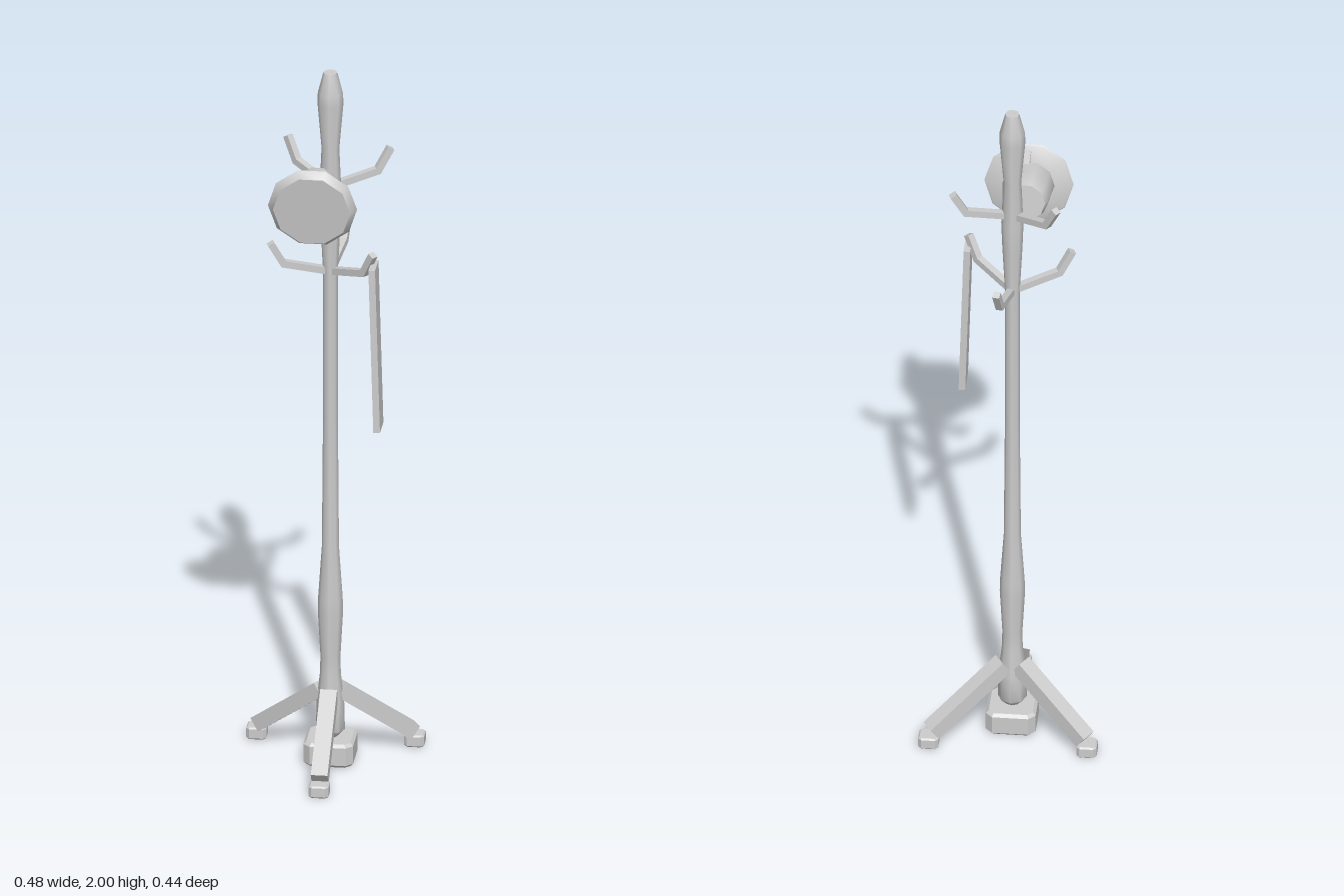
import * as THREE from 'three';
import { toCreasedNormals } from 'three/addons/utils/BufferGeometryUtils.js';

const grey = new THREE.MeshStandardMaterial({ color: 0xcccccc });
grey.name = 'light grey';

function mesh(name, geometry, parent) {
  const m = new THREE.Mesh(geometry, grey);
  m.name = name;
  parent.add(m);
  return m;
}

// Turned solid from [radius, height] pairs listed bottom to top
function turned(points, sides) {
  const profile = points.map(([r, y]) => new THREE.Vector2(r, y));
  return toCreasedNormals(new THREE.LatheGeometry(profile, sides), 0.87);
}

// Square block with cut corners and bevelled rims, standing on y = 0
function block(size, height, corner, bevel) {
  const h = size / 2 - bevel;
  const c = h - corner;
  const shape = new THREE.Shape([
    [h, -c], [h, c], [c, h], [-c, h], [-h, c], [-h, -c], [-c, -h], [c, -h],
  ].map(([x, y]) => new THREE.Vector2(x, y)));
  const g = new THREE.ExtrudeGeometry(shape, {
    depth: height - 2 * bevel, bevelEnabled: true,
    bevelSize: bevel, bevelThickness: bevel, bevelSegments: 1,
  });
  g.translate(0, 0, bevel);
  return g.rotateX(-Math.PI / 2);
}

// Square bar swept along [radius, height] points, mitred at the bends
function bar(points, size) {
  const s = size / 2;
  const pts = points.map(([x, y]) => new THREE.Vector2(x, y));
  const rings = pts.map((p, i) => {
    const a = p.clone().sub(pts[Math.max(i - 1, 0)]).normalize();
    const b = pts[Math.min(i + 1, pts.length - 1)].clone().sub(p).normalize();
    const t = a.clone().add(b).normalize();
    const k = s / Math.max(t.dot(a), t.dot(b));
    const nx = -t.y * k, ny = t.x * k;
    return [
      [p.x + nx, p.y + ny, s], [p.x + nx, p.y + ny, -s],
      [p.x - nx, p.y - ny, -s], [p.x - nx, p.y - ny, s],
    ];
  });
  const index = [];
  for (let i = 0; i < rings.length - 1; i++) {
    for (let j = 0; j < 4; j++) {
      const a = i * 4 + j, b = i * 4 + (j + 1) % 4;
      index.push(a, a + 4, b, b, a + 4, b + 4);
    }
  }
  const e = (rings.length - 1) * 4;
  index.push(0, 1, 2, 0, 2, 3, e, e + 2, e + 1, e, e + 3, e + 2);
  const g = new THREE.BufferGeometry();
  g.setAttribute('position', new THREE.Float32BufferAttribute(rings.flat(2), 3));
  g.setIndex(index);
  return toCreasedNormals(g, 0.3);
}

export function createModel() {
  const group = new THREE.Group();
  const stand = new THREE.Group();
  stand.name = 'stand';
  stand.position.z = -0.05;
  group.add(stand);

  // Turned pole and its base block
  mesh('pole', turned([
    [0, 0.067], [0.02, 0.068], [0.039, 0.088], [0.037, 0.17], [0.028, 0.25], [0.027, 0.3],
    [0.034, 0.43], [0.033, 0.47], [0.023, 0.62], [0.02, 1.0], [0.02, 1.42],
    [0.027, 1.56], [0.03, 1.64], [0.024, 1.78], [0.035, 1.91], [0.034, 1.94],
    [0.019, 2.0], [0, 2.0],
  ], 8), stand);
  mesh('baseBlock', block(0.134, 0.067, 0.014, 0.008), stand);

  // Three sloping legs with feet
  const legRun = 0.212, legDrop = 0.158;
  for (let i = 0; i < 3; i++) {
    const arm = new THREE.Group();
    arm.name = 'leg';
    arm.rotation.y = -Math.PI / 2 + i * Math.PI * 2 / 3;
    stand.add(arm);
    const leg = mesh('legBar', new THREE.BoxGeometry(Math.hypot(legRun, legDrop), 0.042, 0.045), arm);
    leg.position.set(0.132, 0.121, 0);
    leg.rotation.z = -Math.atan2(legDrop, legRun);
    // Feet stay square to the axes
    const foot = mesh('foot', block(0.054, 0.034, 0.006, 0.004), stand);
    foot.position.set(Math.cos(arm.rotation.y) * 0.245, 0, -Math.sin(arm.rotation.y) * 0.245);
  }

  // Two tiers of three bent hooks
  const tiers = [[1.425, -39.5], [1.67, -99.5]];
  for (const [height, turn] of tiers) {
    for (let i = 0; i < 3; i++) {
      const hook = mesh('hook', bar([[0.01, 0], [0.13, 0.032], [0.165, 0.094]], 0.019), stand);
      hook.position.y = height;
      hook.rotation.y = THREE.MathUtils.degToRad(turn + i * 120);
    }
  }

  // Hat hanging with its opening to the front
  const hat = mesh('hat', turned([
    [0, -0.022], [0.104, -0.022], [0.12, 0], [0.114, 0.004], [0.07, 0.014],
    [0.066, 0.06], [0.061, 0.1], [0.054, 0.118], [0, 0.118],
  ], 10), group);
  hat.geometry.rotateY(Math.PI / 2);
  hat.position.set(-0.03, 1.67, 0.1);
  hat.rotation.x = -Math.PI / 2 + 0.14;

  // Thin hanging panel
  const panel = mesh('hangingPanel', new THREE.BoxGeometry(0.018, 0.466, 0.077), group);
  panel.position.set(0.136, 1.257, 0.063);
  panel.rotation.set(-0.03, 0, 0.032);

  return group;
}
